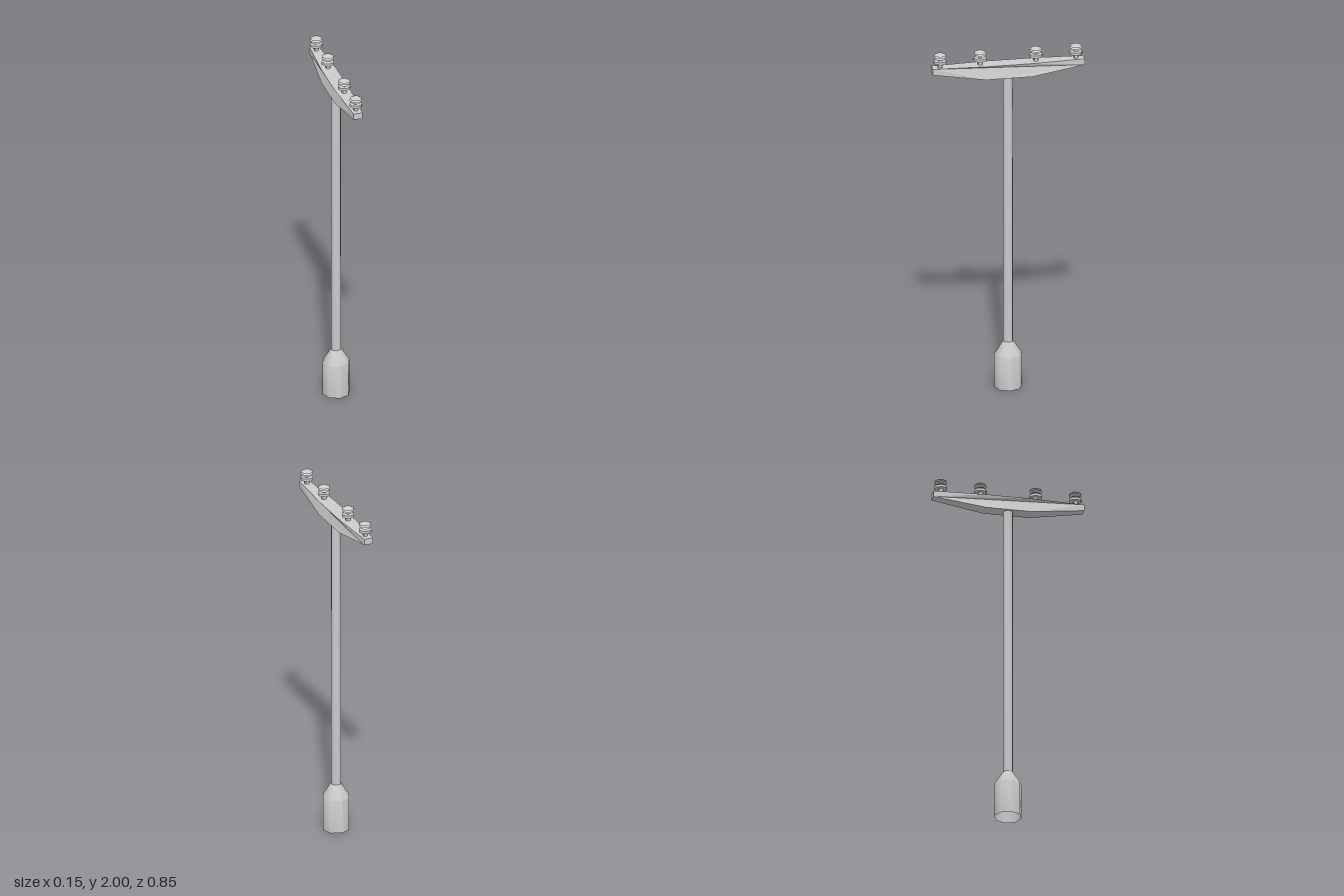
import * as THREE from 'three';
import { toCreasedNormals } from 'three/addons/utils/BufferGeometryUtils.js';

const material = new THREE.MeshStandardMaterial({ color: 0xcccccc, side: THREE.DoubleSide });
const SIDES = 8;

// Eight-sided turned part from [radius, y] pairs, listed from bottom to top
function turned(name, profile, crease) {
  const points = profile.map(([r, y]) => new THREE.Vector2(r, y));
  const geometry = toCreasedNormals(new THREE.LatheGeometry(points, SIDES), crease);
  const mesh = new THREE.Mesh(geometry, material);
  mesh.name = name;
  return mesh;
}

// Beam that is deepest and widest over the pole and tapers to both ends
function crossarmGeometry() {
  const end = 0.423, mid = 0.13, top = 1.92;
  const shape = new THREE.Shape([
    [-end, top], [-end, 1.885], [-mid, 1.842], [mid, 1.842],
    [end, 1.885], [end, top], [mid, top], [-mid, top],
  ].map(([z, y]) => new THREE.Vector2(z, y)));
  const geometry = new THREE.ExtrudeGeometry(shape, { depth: 2, bevelEnabled: false });
  geometry.translate(0, 0, -1);
  geometry.rotateY(-Math.PI / 2);
  const pos = geometry.attributes.position;
  for (let i = 0; i < pos.count; i++) {
    const halfWidth = Math.abs(pos.getZ(i)) > 0.3 ? 0.026 : 0.042;
    pos.setX(i, Math.sign(pos.getX(i)) * halfWidth);
  }
  return toCreasedNormals(geometry, 0.02);
}

export function createModel() {
  const group = new THREE.Group();
  group.name = 'utilityPole';

  // Hollow footing sleeve with a tapered shoulder
  group.add(turned('base', [[0.077, 0], [0.077, 0.195], [0.029, 0.27]], 0.9));

  // Long shaft
  group.add(turned('pole', [[0.029, 0.27], [0.028, 1.85]], 0.9));

  // Crossarm
  const crossarm = new THREE.Mesh(crossarmGeometry(), material);
  crossarm.name = 'crossarm';
  group.add(crossarm);

  // Insulators: pin, flat disc and a stack of ribbed sheds under a low dome
  const profile = [
    [0.014, 1.918], [0.014, 1.945],
    [0.036, 1.945], [0.036, 1.96],
    [0.015, 1.961], [0.015, 1.964],
    [0.029, 1.969], [0.019, 1.975],
    [0.036, 1.981], [0.021, 1.986],
    [0.034, 1.991], [0.022, 1.998], [0, 2],
  ];
  for (const z of [-0.378, -0.155, 0.155, 0.378]) {
    const insulator = turned('insulator', profile, 0.85);
    insulator.position.z = z;
    group.add(insulator);
  }

  return group;
}
